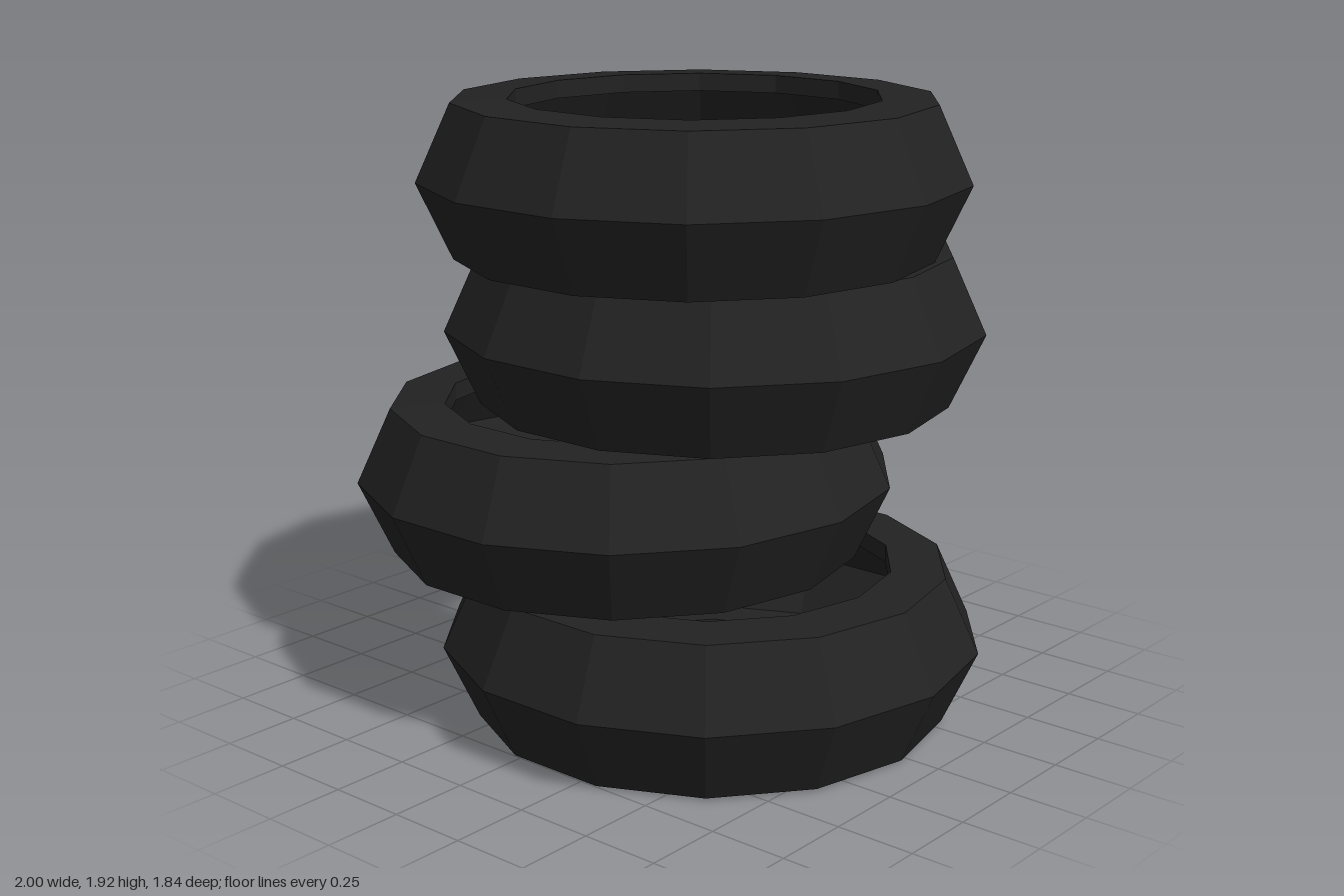
import * as THREE from 'three';

const SIDES = 14;

// Closed cross-section of one hollow tyre: [radius, height], outside going up, inside going down
const PROFILE = [
  [0.57, -0.242], [0.74, -0.235], [0.848, 0], [0.74, 0.235], [0.57, 0.242],
  [0.57, 0.185], [0.69, 0.18], [0.785, 0], [0.69, -0.18], [0.57, -0.185], [0.57, -0.242],
];

// Tyre centres from the ground up
const CENTRES = [
  [0.15, 0.243, 0.035],
  [-0.153, 0.73, 0.095],
  [0.055, 1.213, -0.095],
  [0.055, 1.683, 0.005],
];

export function createModel() {
  const group = new THREE.Group();
  group.name = 'tyreStack';

  const rubber = new THREE.MeshStandardMaterial({ color: 0x222222 });
  rubber.name = 'blackRubber';

  // Low-poly ring with one flat normal per face
  const points = PROFILE.map(([r, y]) => new THREE.Vector2(r, y));
  const tyre = new THREE.LatheGeometry(points, SIDES, Math.PI / 2).toNonIndexed();
  tyre.computeVertexNormals();

  CENTRES.forEach((centre, i) => {
    const mesh = new THREE.Mesh(tyre, rubber);
    mesh.name = `tyre${i + 1}`;
    mesh.position.set(...centre);
    group.add(mesh);
  });

  return group;
}
